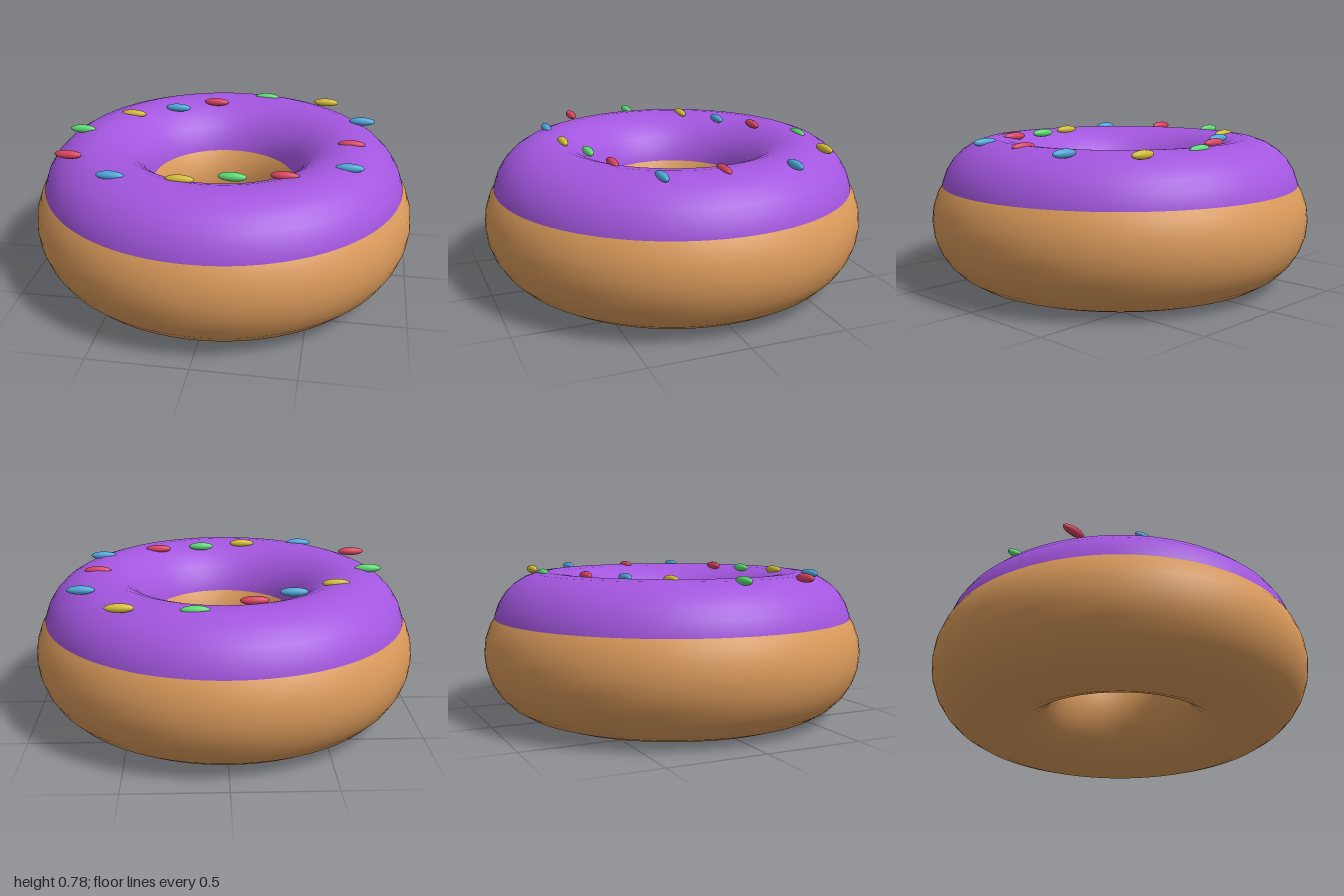
import * as THREE from 'three';

const material = (name, color) => {
  const m = new THREE.MeshStandardMaterial({ color });
  m.name = name;
  return m;
};

export function createModel() {
  const model = new THREE.Group();
  model.name = 'donut';
  const dough = material('dough brown', 0xd9995a);
  const icing = material('icing purple', 0xa356df);
  const red = material('sprinkle red', 0xd9435f);
  const green = material('sprinkle green', 0x5edb76);
  const blue = material('sprinkle blue', 0x4ea8da);
  const yellow = material('sprinkle yellow', 0xd4bd35);

  // Horizontal ring with its tube centred at height y
  const addRing = (name, mat, tube, y) => {
    const geometry = new THREE.TorusGeometry(0.66, tube, 28, 96).rotateX(-Math.PI / 2);
    const mesh = new THREE.Mesh(geometry, mat);
    mesh.name = name;
    mesh.position.y = y;
    model.add(mesh);
  };
  addRing('doughRing', dough, 0.34, 0.34);
  // The slimmer, higher icing ring emerges from the upper dough
  addRing('icingRing', icing, 0.29, 0.47);

  // Sprinkles: slim ellipsoids lying along x, scattered on the icing
  const sprinkleGeometry = new THREE.SphereGeometry(1, 16, 12)
    .rotateZ(Math.PI / 2)
    .scale(0.07, 0.022, 0.023);
  const sprinkles = new THREE.Group();
  sprinkles.name = 'sprinkles';
  [
    [green, 0.15, -0.67], [yellow, 0.5, -0.63], [red, -0.13, -0.535],
    [blue, -0.33, -0.405], [yellow, -0.557, -0.267], [green, -0.765, 0.005],
    [red, -0.733, 0.36], [blue, -0.455, 0.573], [yellow, -0.12, 0.563],
    [green, 0.12, 0.495], [red, 0.365, 0.445], [blue, 0.665, 0.305],
    [red, 0.665, 0], [blue, 0.713, -0.347],
  ].forEach(([mat, x, z]) => {
    const sprinkle = new THREE.Mesh(sprinkleGeometry, mat);
    sprinkle.name = 'sprinkle';
    sprinkle.position.set(x, 0.755, z);
    sprinkles.add(sprinkle);
  });
  model.add(sprinkles);
  return model;
}
